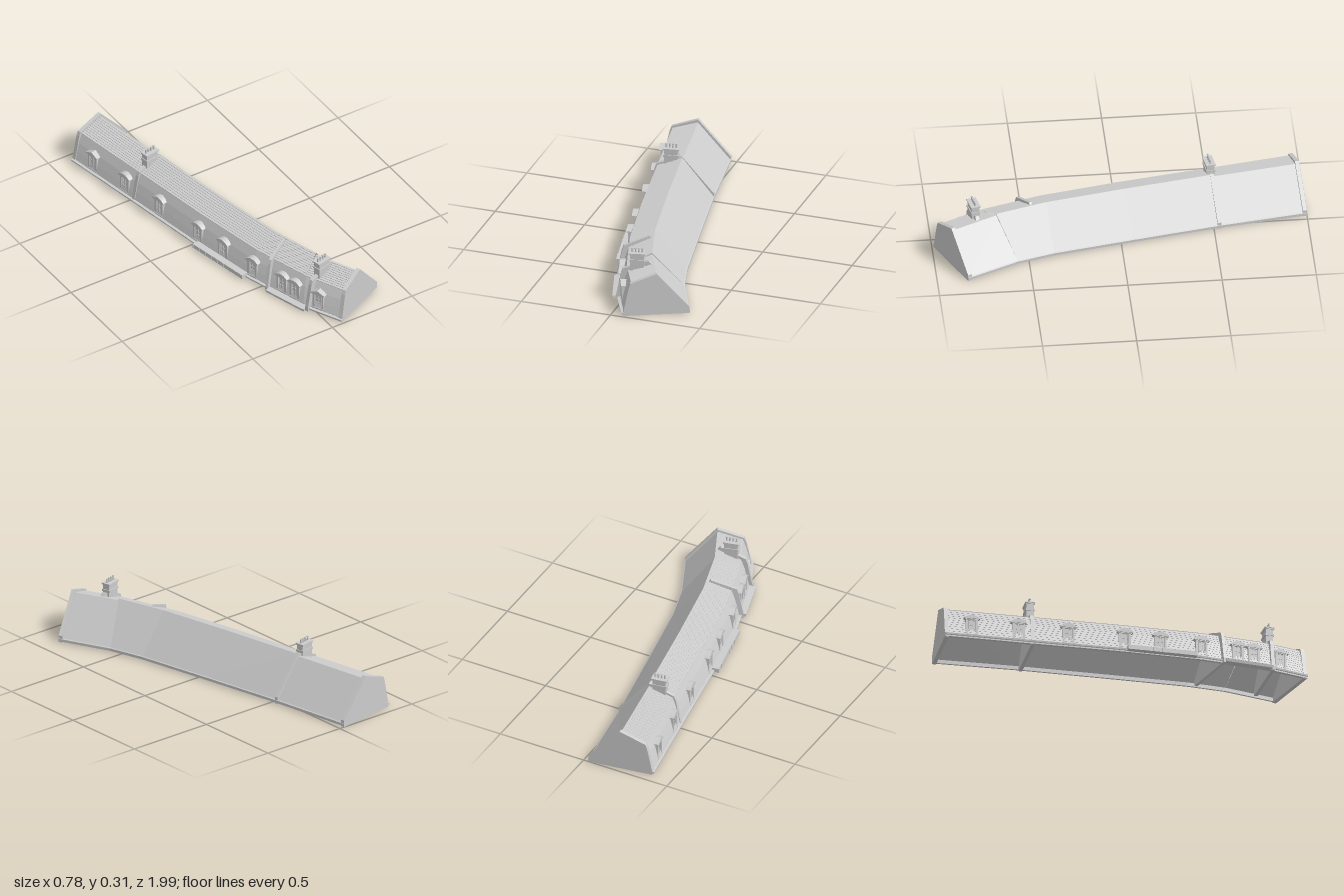
import * as THREE from 'three';

const stone = new THREE.MeshStandardMaterial({ color: 0xcccccc, side: THREE.DoubleSide });
stone.name = 'paleGrey';

// Plan stations along the terrace: front foot [x, z] and back eave [x, z]
const STATIONS = [
  [[-0.39, -0.945], [-0.03, -1.0]],
  [[-0.31, -0.475], [0.04, -0.53]],
  [[-0.232, 0.0], [0.125, -0.06]],
  [[-0.15, 0.42], [0.205, 0.365]],
  [[-0.043, 0.775], [0.26, 0.56]],
  [[0.062, 0.992], [0.385, 0.837]],
];

const mix = (a, b, k) => [a[0] + (b[0] - a[0]) * k, a[1] + (b[1] - a[1]) * k];

function station(t) {
  const i = Math.min(Math.floor(t), STATIONS.length - 2), k = t - i;
  return [0, 1].map(s => mix(STATIONS[i][s], STATIONS[i + 1][s], k));
}

function add(parent, name, geometry) {
  const mesh = new THREE.Mesh(geometry, stone);
  mesh.name = name;
  parent.add(mesh);
  return mesh;
}

// Box given by its ranges along each axis
function box(parent, name, x0, x1, y0, y1, z0, z1) {
  const g = new THREE.BoxGeometry(x1 - x0, y1 - y0, z1 - z0);
  g.translate((x0 + x1) / 2, (y0 + y1) / 2, (z0 + z1) / 2);
  return add(parent, name, g);
}

// Sweep a cross-section (u = fraction from foot to back, y) along the stations
function loft(parent, name, profile, t0, t1, closed) {
  const ts = [t0];
  for (let i = Math.floor(t0) + 1; i < t1; i++) ts.push(i);
  ts.push(t1);
  const rings = ts.map(t => {
    const [f, b] = station(t);
    return profile.map(([u, y]) => { const p = mix(f, b, u); return [p[0], y, p[1]]; });
  });
  const pos = [], tri = (a, b, c) => pos.push(...a, ...b, ...c);
  const n = profile.length, sides = closed ? n : n - 1;
  for (let i = 0; i + 1 < rings.length; i++) {
    for (let j = 0; j < sides; j++) {
      const k = (j + 1) % n, A = rings[i], B = rings[i + 1];
      tri(A[j], B[j], B[k]);
      tri(A[j], B[k], A[k]);
    }
  }
  if (closed) {
    const A = rings[0], B = rings[rings.length - 1];
    for (let j = 1; j + 1 < n; j++) { tri(A[0], A[j], A[j + 1]); tri(B[0], B[j + 1], B[j]); }
  }
  const g = new THREE.BufferGeometry();
  g.setAttribute('position', new THREE.Float32BufferAttribute(pos, 3));
  g.computeVertexNormals();
  return add(parent, name, g);
}

// Group whose local x runs from the foot inwards and z along the facade
function frame(parent, name, f, dx, dz) {
  const g = new THREE.Group();
  g.name = name;
  g.position.set(f[0], 0, f[1]);
  g.rotation.y = Math.atan2(-dz, dx);
  parent.add(g);
  return g;
}

// Overlapping slate rows between two profile points
function slates(a, b, rows, out, rise) {
  const pts = [];
  for (let i = 0; i < rows; i++) {
    const p = mix(a, b, i / rows), q = mix(a, b, (i + 1) / rows);
    pts.push([p[0] - out, p[1] + rise], q);
  }
  return pts;
}

function roofProfile(ridge) {
  return [
    [0.035, 0.012],
    ...slates([0.035, 0.025], [0.06, 0.07], 3, 0.006, 0),
    ...slates([0.06, 0.07], [0.095, 0.125], 4, 0.006, 0),
    ...slates([0.095, 0.125], [0.145, 0.178], 4, 0.006, 0),
    ...slates([0.145, 0.178], [0.52, ridge], 11, 0.002, 0.003),
    [1, 0.02], [1, 0.01],
  ];
}

// Cross wall with a parapet rising above the roof
function wall(parent, name, f, b, z0, z1) {
  const dx = b[0] - f[0], dz = b[1] - f[1], w = Math.hypot(dx, dz);
  const g = frame(parent, name, f, dx, dz);
  const outline = [[0.02, 0.003], [0.02, 0.028], [0.04, 0.06], [0.07, 0.115], [0.1, 0.165],
    [0.125, 0.188], [0.52, 0.239], [1, 0.04], [1, 0.003]];
  const shape = new THREE.Shape(outline.map(([u, y]) => new THREE.Vector2(u * w, y)));
  const geo = new THREE.ExtrudeGeometry(shape, { depth: z1 - z0, bevelEnabled: false });
  geo.translate(0, 0, z0);
  add(g, name + 'Panel', geo);
  return g;
}

function chimney(parent, x) {
  box(parent, 'chimneyStack', x - 0.037, x + 0.037, 0.1, 0.28, -0.02, 0.02);
  box(parent, 'chimneyBand', x - 0.041, x + 0.041, 0.236, 0.248, -0.024, 0.024);
  box(parent, 'chimneyCap', x - 0.041, x + 0.041, 0.274, 0.28, -0.024, 0.024);
  box(parent, 'chimneyCapTop', x - 0.044, x + 0.044, 0.28, 0.285, -0.026, 0.026);
  for (let i = 0; i < 4; i++) {
    const px = x + (i - 1.5) * 0.018;
    const pot = new THREE.CylinderGeometry(0.0045, 0.0055, 0.023, 10);
    add(parent, 'chimneyPot', pot.translate(px, 0.2955, 0));
    const rim = new THREE.CylinderGeometry(0.006, 0.006, 0.004, 10);
    add(parent, 'chimneyPotRim', rim.translate(px, 0.306, 0));
  }
}

function dormer(parent, t, pointed) {
  const i = Math.min(Math.floor(t), 4), a = STATIONS[i][0], b = STATIONS[i + 1][0];
  const g = frame(parent, 'dormer', station(t)[0], b[1] - a[1], a[0] - b[0]);
  box(g, 'dormerBody', 0.02, 0.062, 0.025, 0.124, -0.029, 0.029);
  box(g, 'dormerSill', 0.01, 0.024, 0.025, 0.032, -0.036, 0.036);
  box(g, 'dormerLintel', 0.011, 0.06, 0.116, 0.123, -0.036, 0.036);
  for (const s of [-1, 1]) {
    box(g, 'dormerJamb', 0.013, 0.03, 0.03, 0.118, s * 0.027 - 0.006, s * 0.027 + 0.006);
    box(g, 'windowStile', 0.016, 0.022, 0.032, 0.116, s * 0.017 - 0.002, s * 0.017 + 0.002);
  }
  // Glazing bars
  box(g, 'windowMullion', 0.016, 0.022, 0.032, 0.116, -0.0025, 0.0025);
  for (let k = 0; k < 4; k++) {
    const y = 0.036 + k * 0.025;
    box(g, 'windowBar', 0.017, 0.022, y, y + 0.003, -0.018, 0.018);
  }
  // Hood: segmental arch or pediment
  const pts = [];
  const steps = pointed ? 2 : 12;
  for (let k = 0; k <= steps; k++) {
    const c = k / steps * 2 - 1;
    pts.push(new THREE.Vector2(c * 0.043, 0.126 + (pointed ? 1 - Math.abs(c) : 1 - c * c) * 0.02));
  }
  pts.push(new THREE.Vector2(0.043, 0.121), new THREE.Vector2(-0.043, 0.121));
  const hood = new THREE.ExtrudeGeometry(new THREE.Shape(pts), { depth: 0.058, bevelEnabled: false });
  hood.rotateY(Math.PI / 2).translate(0.007, 0, 0);
  add(g, 'dormerHood', hood);
}

export function createModel() {
  const root = new THREE.Group();
  root.name = 'mansardRoof';

  // Roof sections
  loft(root, 'farRoof', roofProfile(0.222), 0, 1);
  loft(root, 'mainRoof', roofProfile(0.234), 1, 4);
  loft(root, 'nearRoof', roofProfile(0.224), 4, 5);

  // Eaves: stepped front cornice and back gutter
  loft(root, 'cornice', [[0.012, 0.005], [0.012, 0.013], [0.06, 0.013], [0.06, 0.005]], 0, 5, true);
  loft(root, 'corniceTop', [[-0.008, 0.013], [-0.012, 0.022], [0.06, 0.025], [0.06, 0.013]], 0, 5, true);
  loft(root, 'backGutter', [[0.975, 0.008], [0.975, 0.028], [1.005, 0.022], [1.005, 0.008]], 0, 5, true);

  // Projecting ledges over the bays below
  loft(root, 'balconyLedge', [[-0.075, 0.01], [-0.075, 0.034], [0.03, 0.034], [0.03, 0.01]], 2.06, 2.94, true);
  for (let i = 0; i <= 8; i++) {
    const t = 2.06 + i * 0.1075;
    loft(root, 'balconyPier', [[-0.08, 0.01], [-0.08, 0.035], [-0.07, 0.035], [-0.07, 0.01]], t, t + 0.02, true);
  }
  loft(root, 'bayLedge', [[-0.06, 0.005], [-0.07, 0.02], [0.04, 0.024], [0.04, 0.005]], 3.36, 4.08, true);

  // End gables and cross walls
  wall(root, 'farGable', ...STATIONS[0], 0, 0.022);
  wall(root, 'nearGable', ...STATIONS[5], -0.022, 0);
  const farParty = wall(root, 'farPartyWall', ...STATIONS[1], -0.01, 0.01);
  wall(root, 'middlePartyWall', [-0.13, 0.55], [0.185, 0.406], -0.008, 0.008);
  const nearParty = wall(root, 'nearPartyWall', [-0.045, 0.808], [0.295, 0.728], -0.01, 0.01);
  chimney(farParty, 0.125);
  chimney(nearParty, 0.122);

  // Dormer windows
  const spots = [0.31, 0.84, 1.4, 2.04, 2.49, 3.02, 3.57, 3.81, 4.36];
  spots.forEach((t, i) => dormer(root, t, i === 0 || i === 8));
  return root;
}
